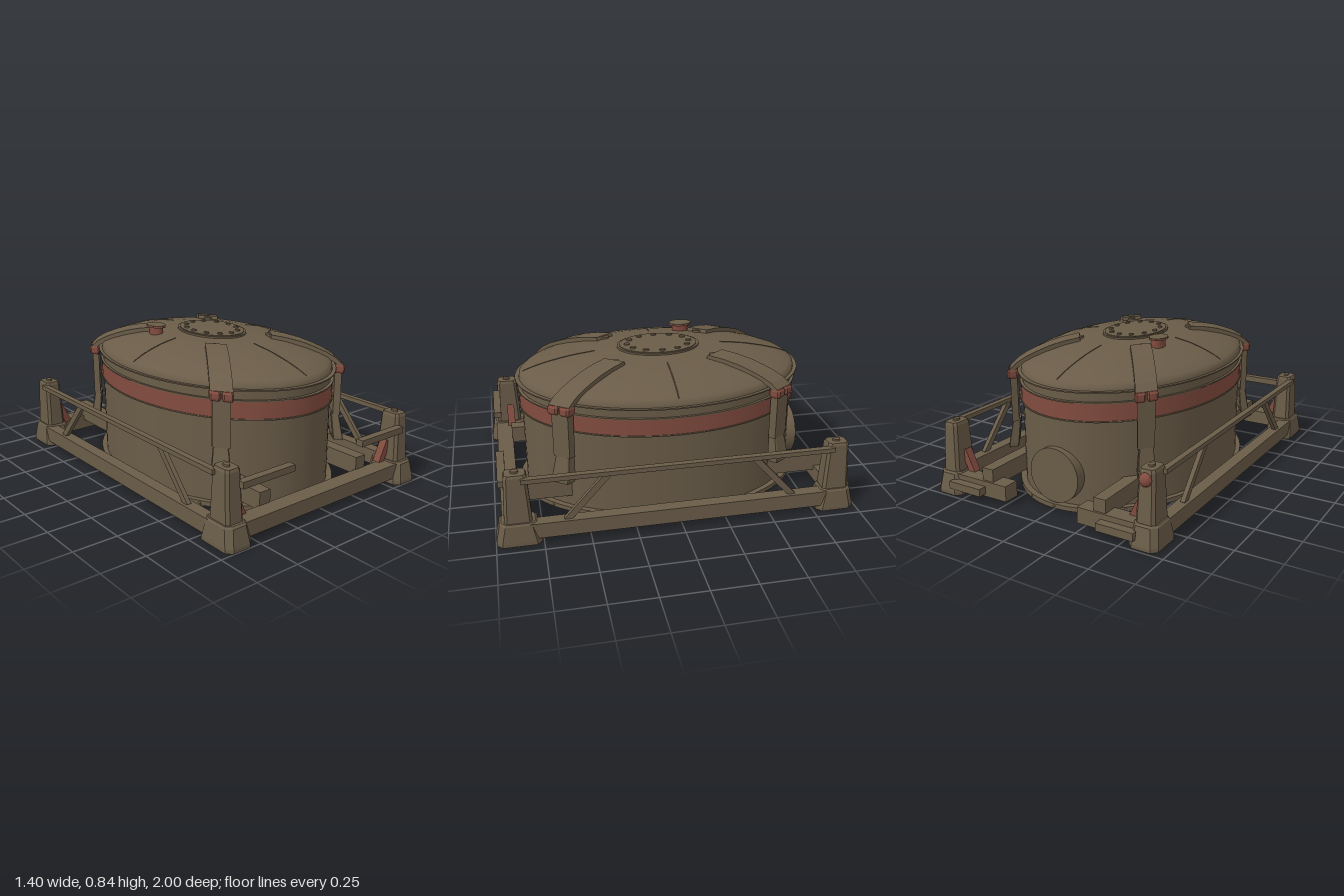
import * as THREE from 'three';

const ZS = 1.42; // oval stretch of the tank along z

export function createModel() {
  const root = new THREE.Group();
  const brown = new THREE.MeshStandardMaterial({ color: 0x6a5c48 });
  brown.name = 'weathered brown';
  const red = new THREE.MeshStandardMaterial({ color: 0x824c3f });
  red.name = 'rust red';

  const add = (name, geo, mat = brown, parent = root) => {
    const m = new THREE.Mesh(geo, mat);
    m.name = name;
    parent.add(m);
    return m;
  };
  // box given by its limits on each axis
  const box = (name, x0, x1, y0, y1, z0, z1, mat = brown, parent = root) => {
    const g = new THREE.BoxGeometry(Math.abs(x1 - x0), y1 - y0, Math.abs(z1 - z0));
    g.translate((x0 + x1) / 2, (y0 + y1) / 2, (z0 + z1) / 2);
    return add(name, g, mat, parent);
  };
  // oval slab with sharp edges
  const slab = (name, r, y0, y1, mat = brown, x = 0, z = 0, seg = 64) => {
    const g = new THREE.CylinderGeometry(r, r, y1 - y0, seg);
    g.scale(1, 1, ZS);
    g.translate(x, (y0 + y1) / 2, z);
    return add(name, g, mat);
  };
  // straight bar between two points
  const bar = (name, a, b, w, d, mat = brown) => {
    const A = new THREE.Vector3(...a), B = new THREE.Vector3(...b);
    const m = add(name, new THREE.BoxGeometry(w, A.distanceTo(B), d), mat);
    m.position.copy(A).lerp(B, 0.5);
    m.quaternion.setFromUnitVectors(new THREE.Vector3(0, 1, 0), B.sub(A).normalize());
    return m;
  };
  // chamfered rectangular sections [y, halfX, halfZ, chamfer, shiftX], bottom to top, joined into a solid
  const loft = (sections) => {
    const rings = sections.map(([y, hx, hz, c, sx = 0]) => [
      [hx, hz - c], [hx - c, hz], [c - hx, hz], [-hx, hz - c],
      [-hx, c - hz], [c - hx, -hz], [hx - c, -hz], [hx, c - hz],
    ].map(([x, z]) => [x + sx, y, z]));
    const pos = [];
    const tri = (...v) => v.forEach(p => pos.push(...p));
    for (let k = 0; k < rings.length - 1; k++) {
      for (let i = 0; i < 8; i++) {
        const j = (i + 1) % 8, a = rings[k], b = rings[k + 1];
        tri(a[i], b[i], a[j]);
        tri(a[j], b[i], b[j]);
      }
    }
    const lo = rings[0], hi = rings[rings.length - 1];
    for (let i = 1; i < 7; i++) {
      tri(lo[0], lo[i], lo[i + 1]);
      tri(hi[0], hi[i + 1], hi[i]);
    }
    const g = new THREE.BufferGeometry();
    g.setAttribute('position', new THREE.Float32BufferAttribute(pos, 3));
    g.computeVertexNormals();
    return g;
  };

  // Tank body, painted band and rims
  slab('baseFlange', 0.588, 0.004, 0.03);
  slab('tankWall', 0.562, 0.03, 0.665);
  slab('paintedBand', 0.571, 0.5, 0.6, red);
  for (const [y, r] of [[0.498, 0.575], [0.598, 0.575], [0.657, 0.584]]) slab('rim', r, y, y + 0.007);

  // Domed lid
  const dome = [[0.568, 0.66], [0.566, 0.683], [0.55, 0.7], [0.51, 0.721], [0.45, 0.745],
    [0.36, 0.772], [0.26, 0.79], [0.14, 0.801], [0, 0.804]];
  const lid = new THREE.LatheGeometry(dome.map(p => new THREE.Vector2(...p)), 64);
  lid.scale(1, 1, ZS);
  add('domedLid', lid);
  for (let i = 0; i < 4; i++) {
    const a = i * Math.PI / 2;
    const pts = dome.slice(2, 7).map(([r, y]) => new THREE.Vector3(Math.cos(a) * r, y, Math.sin(a) * r * ZS));
    add('lidSeam', new THREE.TubeGeometry(new THREE.CatmullRomCurve3(pts), 12, 0.003, 5));
  }

  // Bolted hatch on the crown
  slab('hatchRim', 0.168, 0.79, 0.808);
  slab('hatchPlate', 0.158, 0.8, 0.813);
  for (let i = 0; i < 12; i++) {
    const a = i / 12 * Math.PI * 2;
    slab('hatchBolt', 0.012, 0.81, 0.821, brown, Math.cos(a) * 0.128, Math.sin(a) * 0.128 * ZS, 10);
  }

  // Vent
  slab('ventPipe', 0.034, 0.76, 0.825, red, -0.26, -0.19, 20);
  slab('ventLip', 0.048, 0.824, 0.832, red, -0.26, -0.19, 20);
  slab('ventCap', 0.047, 0.831, 0.836, brown, -0.26, -0.19, 20);

  // Round port at the back
  const port = new THREE.CylinderGeometry(0.152, 0.152, 0.1, 40);
  port.rotateX(Math.PI / 2);
  port.translate(0, 0.19, -0.78);
  add('rearPort', port);

  // Flange bolts
  for (let i = 0; i < 20; i++) {
    const a = i / 20 * Math.PI * 2;
    const g = new THREE.SphereGeometry(0.008, 8, 5);
    g.translate(Math.cos(a) * 0.586, 0.018, Math.sin(a) * 0.586 * ZS);
    add('flangeBolt', g);
  }

  // Hold-down straps with clamps and legs on the diagonals, stretched along z with the tank
  const holdDowns = new THREE.Group();
  holdDowns.name = 'holdDowns';
  holdDowns.scale.z = ZS;
  root.add(holdDowns);
  const strapLine = [[0.285, 0.806], [0.36, 0.795], [0.43, 0.777], [0.49, 0.753],
    [0.54, 0.729], [0.585, 0.699], [0.618, 0.664]];
  const strapShape = new THREE.Shape([
    ...strapLine, ...strapLine.map(([s, y]) => [s - 0.007, y - 0.026]).reverse(),
  ].map(p => new THREE.Vector2(...p)));
  for (let i = 0; i < 4; i++) {
    const g = new THREE.Group();
    g.name = 'holdDown';
    g.rotation.y = Math.PI / 4 + i * Math.PI / 2;
    holdDowns.add(g);
    const strap = new THREE.ExtrudeGeometry(strapShape, { depth: 0.1, bevelEnabled: false });
    strap.translate(0, 0, -0.05);
    add('strap', strap, brown, g);
    const pin = new THREE.CylinderGeometry(0.018, 0.018, 0.03, 14);
    pin.translate(0.28, 0.785, 0);
    add('strapPin', pin, brown, g);
    box('leg', 0.584, 0.616, 0.36, 0.665, -0.04, 0.04, brown, g);
    for (const s of [1, -1]) {
      const c = loft([[0.612, 0.019, 0.02, 0.006], [0.625, 0.025, 0.025, 0.008],
        [0.652, 0.025, 0.025, 0.008], [0.664, 0.019, 0.02, 0.006]]);
      c.translate(0.604, 0, s * 0.028);
      add('clamp', c, red, g);
    }
    add('legFoot', loft([[0.21, 0.022, 0.042, 0.004, 0.614], [0.23, 0.024, 0.043, 0.004, 0.612],
      [0.375, 0.019, 0.032, 0.004, 0.594]]), brown, g);
  }

  // Corner posts
  for (const sx of [1, -1]) for (const sz of [1, -1]) {
    const p = new THREE.Group();
    p.name = 'cornerPost';
    p.position.set(sx * 0.618, 0, sz * 0.877);
    root.add(p);
    const hz = sz > 0 ? 0.12 : 0.108;
    add('postBase', loft([[0, 0.082, hz, 0.03], [0.02, 0.082, hz, 0.03],
      [0.115, 0.07, hz - 0.02, 0.03], [0.125, 0.062, hz - 0.032, 0.025]]), brown, p);
    add('post', loft([[0.12, 0.054, 0.074, 0.015], [0.385, 0.046, 0.06, 0.015],
      [0.4, 0.04, 0.054, 0.015]]), brown, p);
    const bolt = new THREE.CylinderGeometry(0.015, 0.015, 0.014, 14);
    bolt.scale(1, 1, ZS);
    bolt.translate(0, 0.404, 0);
    add('postBolt', bolt, brown, p);
    bar('innerBrace', [sx * 0.575, 0.235, sz * 0.865], [sx * 0.517, 0.11, sz * 0.865], 0.04, 0.045, red);
  }

  // Side rails with diagonal braces, and carrying beams under the tank ends
  for (const s of [1, -1]) {
    box('sideBeam', s * 0.62, s * 0.688, 0.03, 0.118, -0.82, 0.82);
    box('upperRail', s * 0.648, s * 0.682, 0.358, 0.384, -0.85, 0.85);
    for (const t of [1, -1]) bar('sideBrace', [s * 0.658, 0.36, t * 0.4], [s * 0.658, 0.11, t * 0.625], 0.025, 0.035);
    box('frontBearer', s * 0.322, s * 0.394, 0.09, 0.19, 0.55, 0.87);
    box('rearBearer', s * 0.322, s * 0.394, 0.09, 0.19, -0.94, -0.55);
    box('frontHandle', s * 0.25, s * 0.59, 0.3, 0.336, 0.925, 0.968);
    box('rearStub', s * 0.23, s * 0.6, 0.03, 0.118, -0.952, -0.857);
    box('rearPad', s * 0.37, s * 0.585, 0.045, 0.088, -1, -0.95);
  }
  box('frontBeam', -0.6, 0.6, 0.035, 0.118, 0.865, 0.962);

  // Single knob on one rear post
  const knob = new THREE.SphereGeometry(0.034, 14, 10);
  knob.scale(1, 1.05, 0.8);
  knob.translate(-0.618, 0.35, -0.938);
  add('rearKnob', knob, red);

  return root;
}
